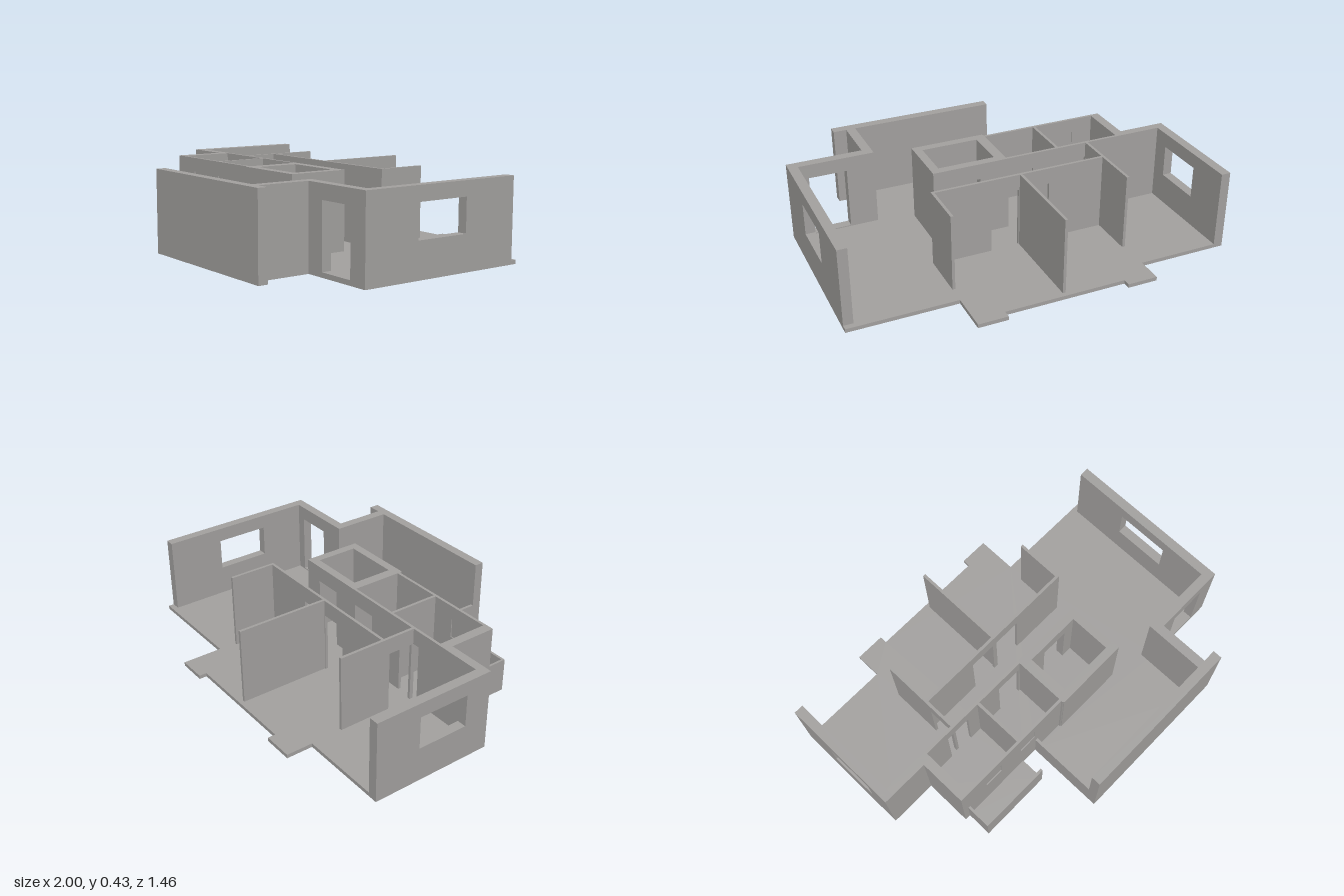
import * as THREE from 'three';

const H = 0.425;      // full wall height
const LOW = 0.18;     // parapet height
const SLAB = 0.02;    // floor thickness
const DOOR = 0.34;    // interior door head

const plaster = new THREE.MeshStandardMaterial({ color: 0xa3a19f });
plaster.name = 'warm grey plaster';

const rectPath = (Type, a0, a1, b0, b1) => {
  const p = new Type();
  p.moveTo(a0, b0);
  p.lineTo(a1, b0);
  p.lineTo(a1, b1);
  p.lineTo(a0, b1);
  p.closePath();
  return p;
};

// Wall over the plan rectangle x0..x1, z0..z1; openings are [from, to, bottom, top] along its length
function wall(group, name, x0, x1, z0, z1, openings = [], height = H) {
  const alongX = x1 - x0 > z1 - z0;
  const [s0, s1] = alongX ? [x0, x1] : [-z1, -z0];
  const shape = rectPath(THREE.Shape, s0, s1, 0, height);
  for (const [a, b, lo, hi] of openings) {
    const [h0, h1] = alongX ? [a, b] : [-b, -a];
    shape.holes.push(rectPath(THREE.Path, h0, h1, lo, hi));
  }
  const geo = new THREE.ExtrudeGeometry(shape, {
    depth: alongX ? z1 - z0 : x1 - x0, bevelEnabled: false,
  });
  if (alongX) geo.translate(0, 0, z0);
  else geo.rotateY(Math.PI / 2).translate(x0, 0, 0);
  const mesh = new THREE.Mesh(geo, plaster);
  mesh.name = name;
  group.add(mesh);
}

const door = (a, b) => [a, b, SLAB, DOOR];

export function createModel() {
  const root = new THREE.Group();
  root.name = 'apartmentFloorPlan';

  // Floor slab, outlined in plan (x, z)
  const plan = [
    [-1, -0.59], [-0.52, -0.59], [-0.52, -0.73], [-0.36, -0.73], [-0.36, -0.69],
    [0.28, -0.69], [0.28, -0.73], [0.435, -0.73], [0.435, -0.515], [1, -0.515],
    [1, 0.41], [0.6, 0.41], [0.6, 0.73], [-0.23, 0.73], [-0.23, 0.31],
    [-0.32, 0.31], [-0.32, 0.445], [-0.715, 0.445], [-0.715, 0.31],
    [-0.745, 0.31], [-0.745, 0.055], [-1, 0.055],
  ];
  const floorShape = new THREE.Shape(plan.map(([x, z]) => new THREE.Vector2(x, -z)));
  const floorGeo = new THREE.ExtrudeGeometry(floorShape, { depth: SLAB, bevelEnabled: false });
  floorGeo.rotateX(-Math.PI / 2);
  const floor = new THREE.Mesh(floorGeo, plaster);
  floor.name = 'floorSlab';
  root.add(floor);

  // Thick outer walls
  const outer = new THREE.Group();
  outer.name = 'outerWalls';
  wall(outer, 'leftSideWall', 0.95, 1, -0.485, 0.41, [[-0.18, 0.11, 0.18, 0.35]]);
  wall(outer, 'rightSideWall', -1, -0.95, -0.59, 0.055, [[-0.35, -0.08, 0.18, 0.35]]);
  wall(outer, 'entranceWall', 0.55, 1, 0.36, 0.41, [[0.7, 0.9, 0.025, 0.35]]);
  wall(outer, 'entranceReturnWall', 0.55, 0.6, 0.36, 0.73);
  wall(outer, 'frontWall', -0.23, 0.67, 0.68, 0.73);
  wall(outer, 'bedroomFrontWall', -1, -0.695, 0.01, 0.055);
  wall(outer, 'bathroomSideWall', -0.745, -0.695, 0.01, 0.31);
  root.add(outer);

  // Thin partitions around the bedrooms and corridor
  const inner = new THREE.Group();
  inner.name = 'partitions';
  wall(inner, 'corridorBackWall', -0.52, 0.435, -0.175, -0.16, [door(-0.2, -0.055), door(-0.03, 0.12)]);
  wall(inner, 'corridorFrontWall', -0.745, -0.045, 0.01, 0.025, [door(-0.56, -0.42), door(-0.2, -0.06)]);
  wall(inner, 'bedroomWallRight', -0.52, -0.505, -0.42, 0.02, [door(-0.135, 0)]);
  wall(inner, 'bedroomWallMiddle', -0.05, -0.035, -0.665, -0.165);
  wall(inner, 'bedroomWallLeft', 0.42, 0.435, -0.42, -0.16);
  wall(inner, 'bathroomDivider', -0.35, -0.335, 0.015, 0.305);
  root.add(inner);

  // Bathroom front with two small glazed windows, panes set mid-wall
  const windows = [[-0.58, -0.475, 0.25, 0.35], [-0.335, -0.235, 0.25, 0.35]];
  wall(root, 'bathroomFrontWall', -0.745, -0.045, 0.295, 0.31, windows);
  for (const [a, b, lo, hi] of windows) {
    const pane = new THREE.Mesh(new THREE.BoxGeometry(b - a, hi - lo, 0.005), plaster);
    pane.name = 'bathroomWindowPane';
    pane.position.set((a + b) / 2, (lo + hi) / 2, 0.3025);
    root.add(pane);
  }

  // Thick-walled shaft in the middle of the plan
  const shaft = new THREE.Group();
  shaft.name = 'shaft';
  wall(shaft, 'shaftBackWall', -0.045, 0.355, 0.01, 0.055, [door(0.1, 0.25)]);
  wall(shaft, 'shaftFrontWall', -0.045, 0.355, 0.28, 0.325);
  wall(shaft, 'shaftRightWall', -0.05, 0.005, 0.01, 0.32);
  wall(shaft, 'shaftLeftWall', 0.31, 0.355, 0.01, 0.325);
  root.add(shaft);

  // Low parapets of the balcony and terrace
  const parapets = new THREE.Group();
  parapets.name = 'parapets';
  wall(parapets, 'balconyFrontParapet', -0.715, -0.32, 0.432, 0.445, [], LOW);
  wall(parapets, 'balconySideParapet', -0.715, -0.703, 0.305, 0.445, [], LOW);
  wall(parapets, 'terraceParapet', -0.23, -0.215, 0.305, 0.69, [], LOW);
  root.add(parapets);

  return root;
}
